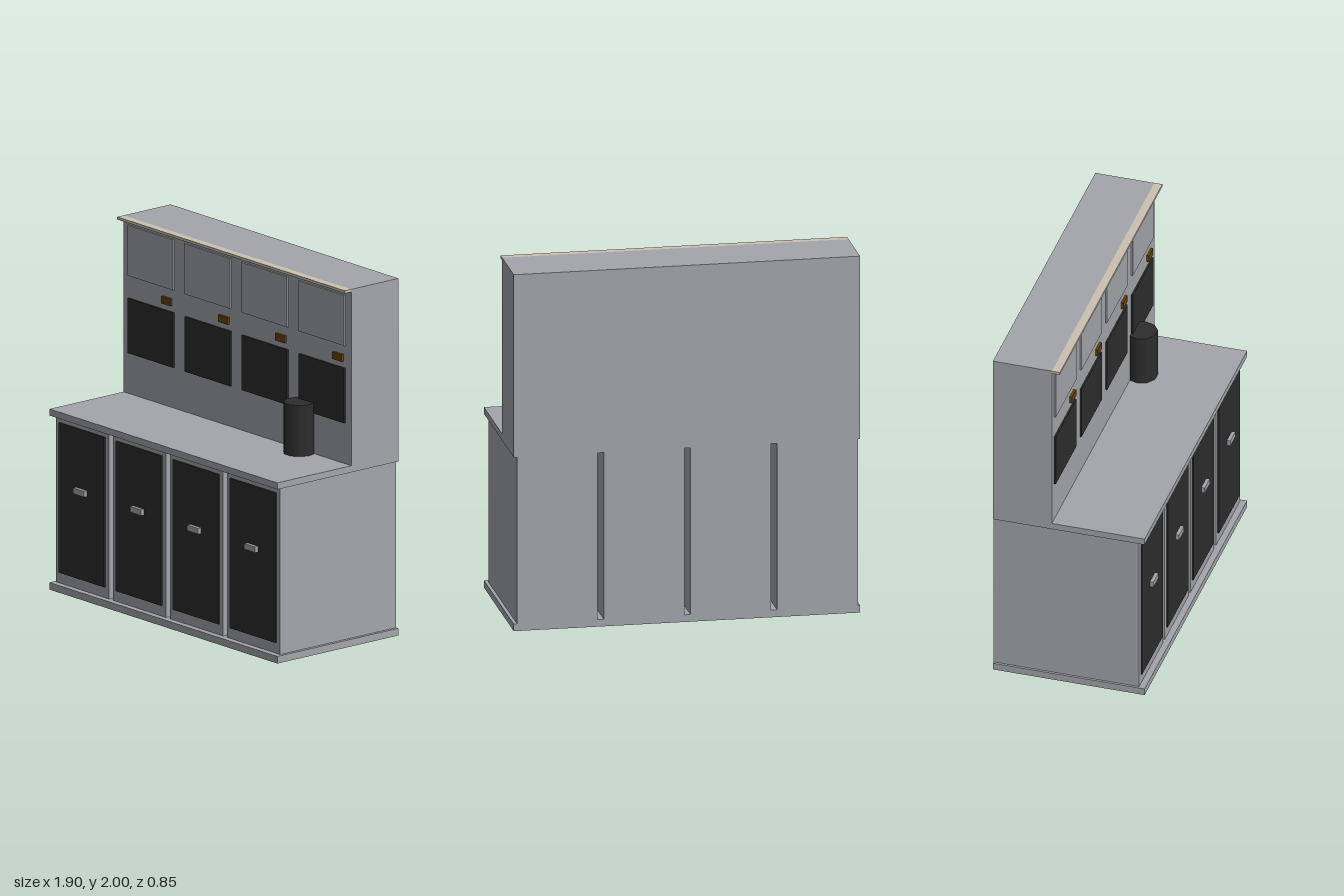
import * as THREE from 'three';

const mat = (name, color) => {
  const m = new THREE.MeshStandardMaterial({ color });
  m.name = name;
  return m;
};

export function createModel() {
  const grey = mat('greyPaint', 0xa3a6ab);
  const dark = mat('darkPanel', 0x2d2d2d);
  const brown = mat('brownTag', 0x66440f);
  const cream = mat('creamTrim', 0xcbc2b2);

  const model = new THREE.Group();
  model.name = 'counterWithBackUnit';

  // Box given by its minimum and maximum on each axis
  const box = (name, material, [x0, x1], [y0, y1], [z0, z1], parent = model) => {
    const mesh = new THREE.Mesh(new THREE.BoxGeometry(x1 - x0, y1 - y0, z1 - z0), material);
    mesh.position.set((x0 + x1) / 2, (y0 + y1) / 2, (z0 + z1) / 2);
    mesh.name = name;
    parent.add(mesh);
    return mesh;
  };

  const back = -0.427, wall = -0.095, front = 0.392;
  const full = [-0.95, 0.95];

  // Plinth, worktop, upper unit and top trim
  box('plinth', grey, full, [0, 0.04], [back, 0.427]);
  box('worktop', grey, full, [0.975, 1.012], [back, 0.427]);
  box('upperUnit', grey, full, [1.012, 2], [back, wall]);
  box('topTrim', cream, full, [1.985, 2], [wall, -0.05]);

  // Four bays: cabinet below, screen, tag and panel above
  for (let i = 0; i < 4; i++) {
    const bay = new THREE.Group();
    bay.name = `bay${i + 1}`;
    bay.position.x = -0.716 + i * 0.4755;
    model.add(bay);
    const door = [-0.19, 0.19];
    box('cabinet', grey, [-0.221, 0.221], [0.04, 0.975], [back, front], bay);
    box('door', dark, door, [0.1, 0.94], [front, front + 0.008], bay);
    box('handle', grey, [-0.046, 0.046], [0.577, 0.61], [front + 0.008, 0.42], bay);
    box('screen', dark, door, [1.24, 1.548], [wall, wall + 0.009], bay);
    box('tag', brown, [0.095, 0.172], [1.582, 1.622], [wall, -0.081], bay);
    box('upperPanel', grey, door, [1.674, 1.956], [wall, wall + 0.009], bay);
  }

  // Canister standing on the worktop against the upper unit
  const can = new THREE.Mesh(new THREE.CylinderGeometry(0.087, 0.087, 0.286, 10), dark);
  can.name = 'canister';
  can.rotation.y = Math.PI / 10;
  can.position.set(0.568, 1.155, -0.05);
  model.add(can);

  return model;
}
